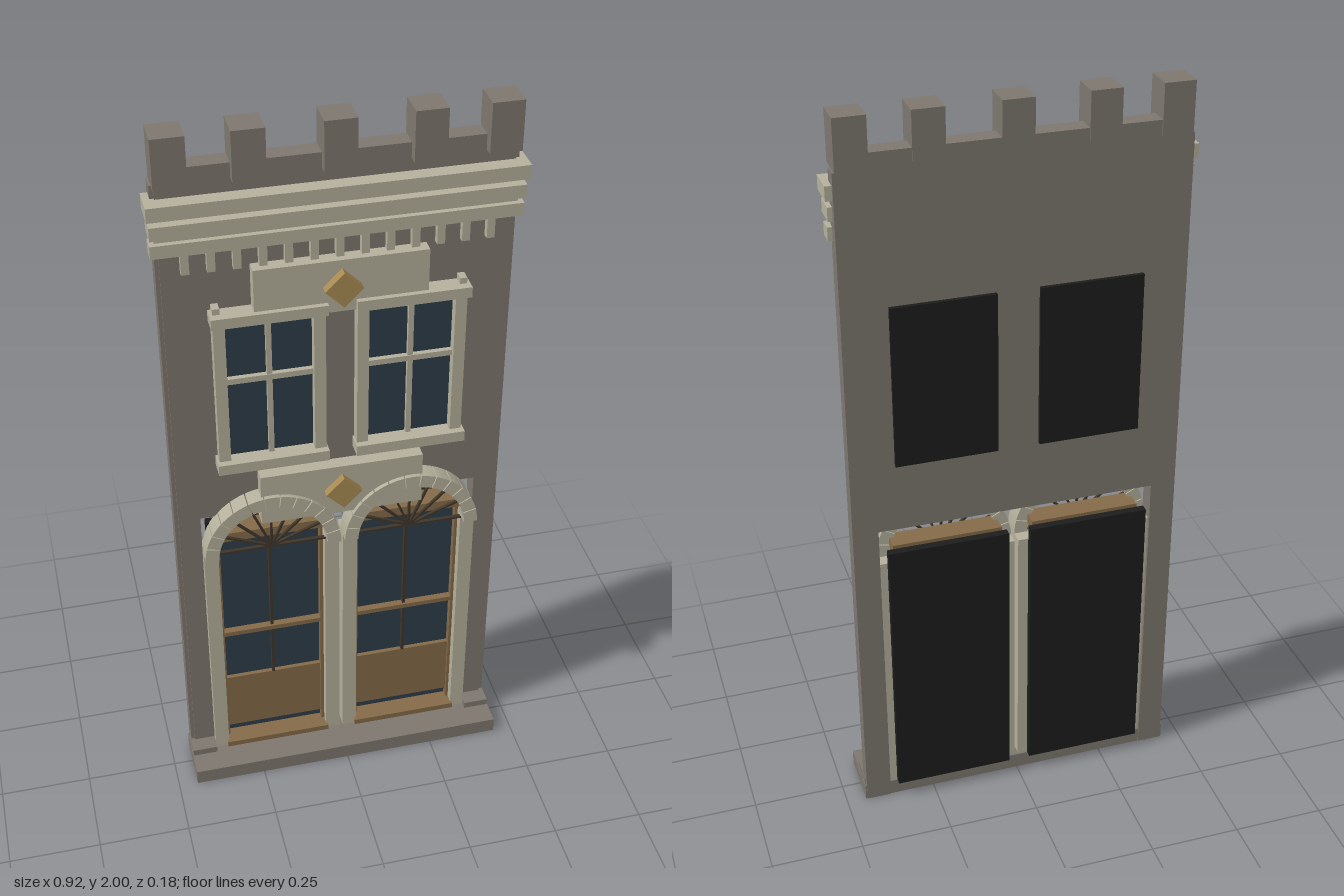
import * as THREE from 'three';

const mat = (name, color) => {
  const m = new THREE.MeshStandardMaterial({ color });
  m.name = name;
  return m;
};

export function createModel() {
  const model = new THREE.Group();
  model.name = 'townhouseFacade';
  const stone = mat('grey stone', 0x7d776e);
  const trim = mat('pale trim', 0xb4b09c);
  const glass = mat('dark glass', 0x2e3d49);
  const wood = mat('door wood', 0x846a48);
  const gold = mat('gold ornament', 0xa88a52);
  const bronze = mat('dark bars', 0x40362a);
  const black = mat('black backing', 0x1c1c1c);

  const add = (name, geometry, material) => {
    const mesh = new THREE.Mesh(geometry, material);
    mesh.name = name;
    model.add(mesh);
    return mesh;
  };
  // Box given by its limits on each axis
  const box = (name, material, x0, x1, y0, y1, z0, z1) => {
    const mesh = add(name, new THREE.BoxGeometry(x1 - x0, y1 - y0, z1 - z0), material);
    mesh.position.set((x0 + x1) / 2, (y0 + y1) / 2, (z0 + z1) / 2);
    return mesh;
  };
  // The same box on both sides of x = 0
  const pair = (name, material, x0, x1, ...rest) => {
    box(name, material, x0, x1, ...rest);
    box(name, material, -x1, -x0, ...rest);
  };

  // Wall with one wide doorway
  const outline = new THREE.Shape([
    [-0.433, 0], [-0.375, 0], [-0.375, 0.888], [0.375, 0.888],
    [0.375, 0], [0.433, 0], [0.433, 1.91], [-0.433, 1.91],
  ].map(([x, y]) => new THREE.Vector2(x, y)));
  const wall = new THREE.ExtrudeGeometry(outline, { depth: 0.05, bevelEnabled: false });
  wall.translate(0, 0, -0.07);
  add('wall', wall, stone);
  pair('wallEdge', stone, 0.433, 0.443, 0, 1.87, -0.07, -0.026);

  // Base step and pier feet
  box('baseStep', stone, -0.447, 0.447, 0, 0.045, -0.068, 0.09);
  pair('pierFoot', stone, 0.375, 0.445, 0.045, 0.065, -0.06, 0.024);

  // Battlements
  for (const x of [-0.398, -0.215, 0, 0.215, 0.398])
    box('merlon', stone, x - 0.04, x + 0.04, 1.87, 2, -0.073, 0.007);

  // Cornice bands and dentils
  box('corniceBoard', trim, -0.442, 0.442, 1.695, 1.835, -0.045, -0.012);
  box('corniceTop', trim, -0.46, 0.46, 1.8, 1.837, -0.06, 0.02);
  box('corniceMiddle', trim, -0.455, 0.455, 1.747, 1.782, -0.052, 0.012);
  box('corniceBottom', trim, -0.455, 0.455, 1.694, 1.728, -0.04, 0.002);
  for (let i = -6; i <= 6; i++)
    box('dentil', trim, i * 0.0625 - 0.01, i * 0.0625 + 0.01, 1.64, 1.695, -0.025, -0.002);

  // Plaques with diamond ornaments
  box('upperPlaque', trim, -0.218, 0.218, 1.497, 1.64, -0.03, 0.016);
  box('lowerPlaque', trim, -0.218, 0.218, 0.87, 1.022, -0.03, 0.018);
  for (const y of [1.57, 0.95]) {
    const diamond = add('diamond', new THREE.BoxGeometry(0.068, 0.068, 0.026), gold);
    diamond.position.set(0, y, 0.028);
    diamond.rotation.z = Math.PI / 4;
  }

  // Upper windows
  pair('windowGlass', glass, 0.068, 0.292, 1.08, 1.5, -0.03, -0.014);
  pair('windowInnerJamb', trim, 0.04, 0.07, 1.06, 1.52, -0.03, 0.012);
  pair('windowOuterJamb', trim, 0.29, 0.32, 1.06, 1.52, -0.03, 0.012);
  pair('windowEar', trim, 0.3, 0.318, 1.52, 1.542, -0.03, 0.008);
  pair('windowLintel', trim, 0.036, 0.326, 1.497, 1.526, -0.03, 0.03);
  pair('windowSill', trim, 0.036, 0.326, 1.058, 1.088, -0.03, 0.03);
  pair('windowMullion', trim, 0.174, 0.188, 1.085, 1.5, -0.016, -0.002);
  pair('windowCrossbar', trim, 0.07, 0.29, 1.313, 1.329, -0.016, 0);
  pair('windowBacking', black, 0.055, 0.325, 1.08, 1.52, -0.081, -0.068);

  // Doors
  pair('doorInnerJamb', trim, 0.005, 0.045, 0.045, 0.78, -0.06, 0.003);
  pair('doorOuterJamb', trim, 0.336, 0.375, 0.045, 0.78, -0.06, 0.003);
  pair('doorGlass', glass, 0.045, 0.336, 0.06, 0.81, -0.07, -0.042);
  pair('doorPanel', wood, 0.052, 0.33, 0.09, 0.28, -0.045, -0.03);
  pair('doorInnerStile', wood, 0.045, 0.054, 0.05, 0.81, -0.045, -0.022);
  pair('doorOuterStile', wood, 0.328, 0.336, 0.05, 0.81, -0.045, -0.022);
  pair('doorRail', wood, 0.05, 0.332, 0.449, 0.463, -0.045, -0.022);
  pair('doorSill', wood, 0.04, 0.34, 0.045, 0.062, -0.06, 0.012);
  pair('doorMullion', bronze, 0.187, 0.195, 0.28, 0.81, -0.045, -0.028);
  pair('doorTransom', wood, 0.042, 0.338, 0.808, 0.835, -0.065, -0.004);
  pair('doorBacking', black, 0.03, 0.355, 0.05, 0.828, -0.091, -0.069);

  // Arches of separate stones, with fanlight bars
  const springY = 0.776, inner = 0.148, outer = 0.185, stones = 13;
  for (const cx of [-0.19, 0.19]) {
    for (let i = 0; i < stones; i++) {
      const a0 = (i / stones) * Math.PI + 0.008;
      const a1 = ((i + 1) / stones) * Math.PI - 0.008;
      const s = new THREE.Shape();
      s.absarc(0, 0, outer, a0, a1, false);
      s.absarc(0, 0, inner, a1, a0, true);
      const g = new THREE.ExtrudeGeometry(s, { depth: 0.055, bevelEnabled: false, curveSegments: 3 });
      add('archStone', g, trim).position.set(cx, springY, -0.025);
    }
    for (let i = 1; i < 8; i++) {
      const a = (i / 8) * Math.PI;
      const spoke = add('fanlightBar', new THREE.BoxGeometry(inner, 0.006, 0.008), bronze);
      spoke.position.set(cx + Math.cos(a) * inner / 2, springY + Math.sin(a) * inner / 2, 0);
      spoke.rotation.z = a;
    }
    box('fanlightBase', bronze, cx - inner, cx + inner, springY - 0.003, springY + 0.003, -0.006, 0.004);
  }
  return model;
}
